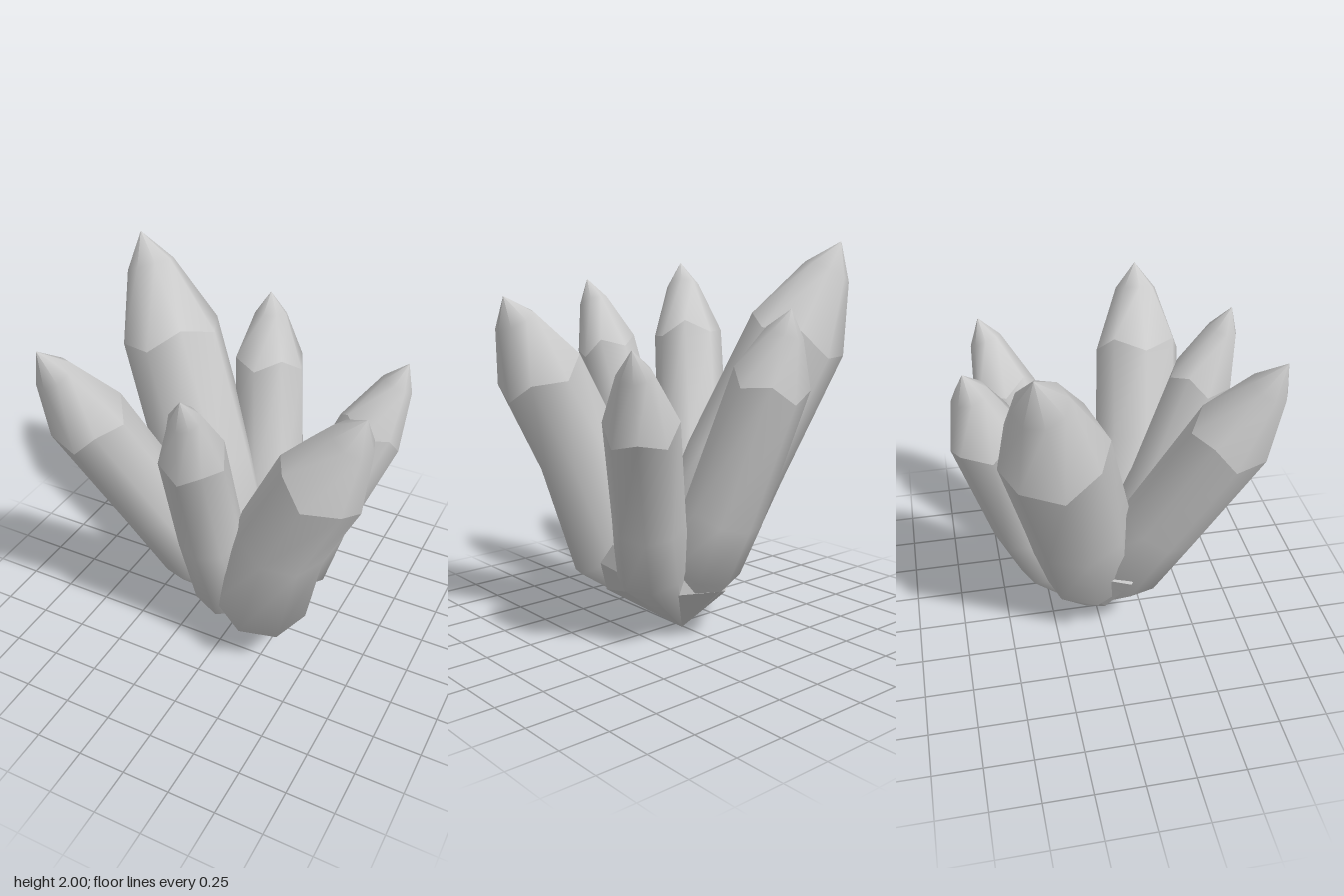
import * as THREE from 'three';
import { ConvexGeometry } from 'three/addons/geometries/ConvexGeometry.js';

const SIDES = 8;
const UP = new THREE.Vector3(0, 1, 0);
const V = (p) => new THREE.Vector3(...p);
const ROOT = [0.01, 0, -0.06];

// One ring of points around a centre, square to a direction; zig shifts every other point along it
function ring(center, dir, r, zig = 0) {
  const q = new THREE.Quaternion().setFromUnitVectors(UP, dir);
  return Array.from({ length: SIDES }, (_, j) => {
    const a = (j / SIDES) * Math.PI * 2;
    return new THREE.Vector3(r * Math.cos(a), j % 2 ? zig : -zig, r * Math.sin(a))
      .applyQuaternion(q).add(center);
  });
}

// Skin a list of rings, bottom to top
function loft(rings) {
  const index = [];
  for (let i = 0; i < rings.length - 1; i++) {
    for (let j = 0; j < SIDES; j++) {
      const k = (j + 1) % SIDES, a = i * SIDES, b = a + SIDES;
      index.push(a + j, b + j, a + k, a + k, b + j, b + k);
    }
  }
  const geo = new THREE.BufferGeometry().setFromPoints(rings.flat());
  geo.setIndex(index);
  geo.computeVertexNormals();
  return geo;
}

// Foot, waist and shoulder centres with radii, then the tip
const CRYSTALS = [
  { name: 'tallCrystal', foot: [-0.1, 0.42, -0.06, 0.26], waist: [-0.28, 0.87, -0.15, 0.265], shoulder: [-0.555, 1.5, -0.3, 0.26], tip: [-0.78, 2, -0.4] },
  { name: 'backCrystal', foot: [0.02, 0.4, -0.23, 0.2], waist: [0.0, 0.68, -0.36, 0.2], shoulder: [-0.11, 1.33, -0.56, 0.19], tip: [-0.15, 1.69, -0.65] },
  { name: 'backLeftCrystal', foot: [0.27, 0.4, -0.14, 0.19], waist: [0.35, 0.67, -0.21, 0.18], shoulder: [0.55, 1.18, -0.41, 0.177], tip: [0.68, 1.54, -0.51] },
  { name: 'frontLeftCrystal', foot: [0.23, 0.42, 0.2, 0.26], waist: [0.38, 0.92, 0.3, 0.23], shoulder: [0.59, 1.35, 0.34, 0.225], tip: [0.78, 1.74, 0.36] },
  { name: 'frontCrystal', foot: [0.05, 0.42, 0.21, 0.2], waist: [0.0, 0.82, 0.33, 0.17], shoulder: [0.03, 1.43, 0.54, 0.158], tip: [0.06, 1.8, 0.68] },
  { name: 'frontRightCrystal', foot: [-0.2, 0.48, 0.12, 0.2], waist: [-0.35, 0.87, 0.27, 0.195], shoulder: [-0.535, 1.455, 0.52, 0.192], tip: [-0.64, 1.88, 0.71] },
];

export function createModel() {
  const model = new THREE.Group();
  model.name = 'crystalCluster';
  const smooth = new THREE.MeshStandardMaterial({ color: 0xcccccc });
  const faceted = new THREE.MeshStandardMaterial({ color: 0xcccccc, flatShading: true });
  const root = V(ROOT);

  for (const c of CRYSTALS) {
    const crystal = new THREE.Group();
    crystal.name = c.name;
    const [foot, waist, shoulder] = [c.foot, c.waist, c.shoulder].map((p) => V(p.slice(0, 3)));
    const tip = V(c.tip);
    const toward = (a, b) => b.clone().sub(a).normalize();
    const footRing = ring(foot, toward(root, waist), c.foot[3]);
    const waistRing = ring(waist, toward(foot, shoulder), c.waist[3]);
    const axis = toward(waist, tip);
    const shoulderRing = ring(shoulder, axis, c.shoulder[3], 0.03);
    const neckRing = ring(shoulder.clone().lerp(tip, 0.69), axis, c.shoulder[3] * 0.48);

    const add = (name, rings) => {
      const mesh = new THREE.Mesh(loft(rings), smooth);
      mesh.name = name;
      crystal.add(mesh);
    };
    // Shaft growing out of a tapered root, and a pointed cap with a sharp edge below it
    add('shaft', [ring(root, UP, 0), footRing, waistRing, shoulderRing]);
    add('cap', [shoulderRing, neckRing, ring(tip, axis, 0)]);
    model.add(crystal);
  }

  // Rock that fills the gaps between the roots
  const rock = new THREE.Mesh(new ConvexGeometry([
    ROOT, [-0.25, 0.23, 0], [-0.43, 0.53, 0.1], [-0.16, 0.54, 0.27], [0.12, 0.38, 0.4],
    [0.38, 0.25, 0.1], [0.46, 0.42, 0.04], [0.44, 0.53, -0.04], [0.23, 0.62, 0.06],
    [0.27, 0.27, -0.22], [0.14, 0.56, -0.3], [-0.22, 0.5, -0.28], [0.0, 0.28, -0.38],
  ].map(V)), faceted);
  rock.name = 'base';
  model.add(rock);
  return model;
}
